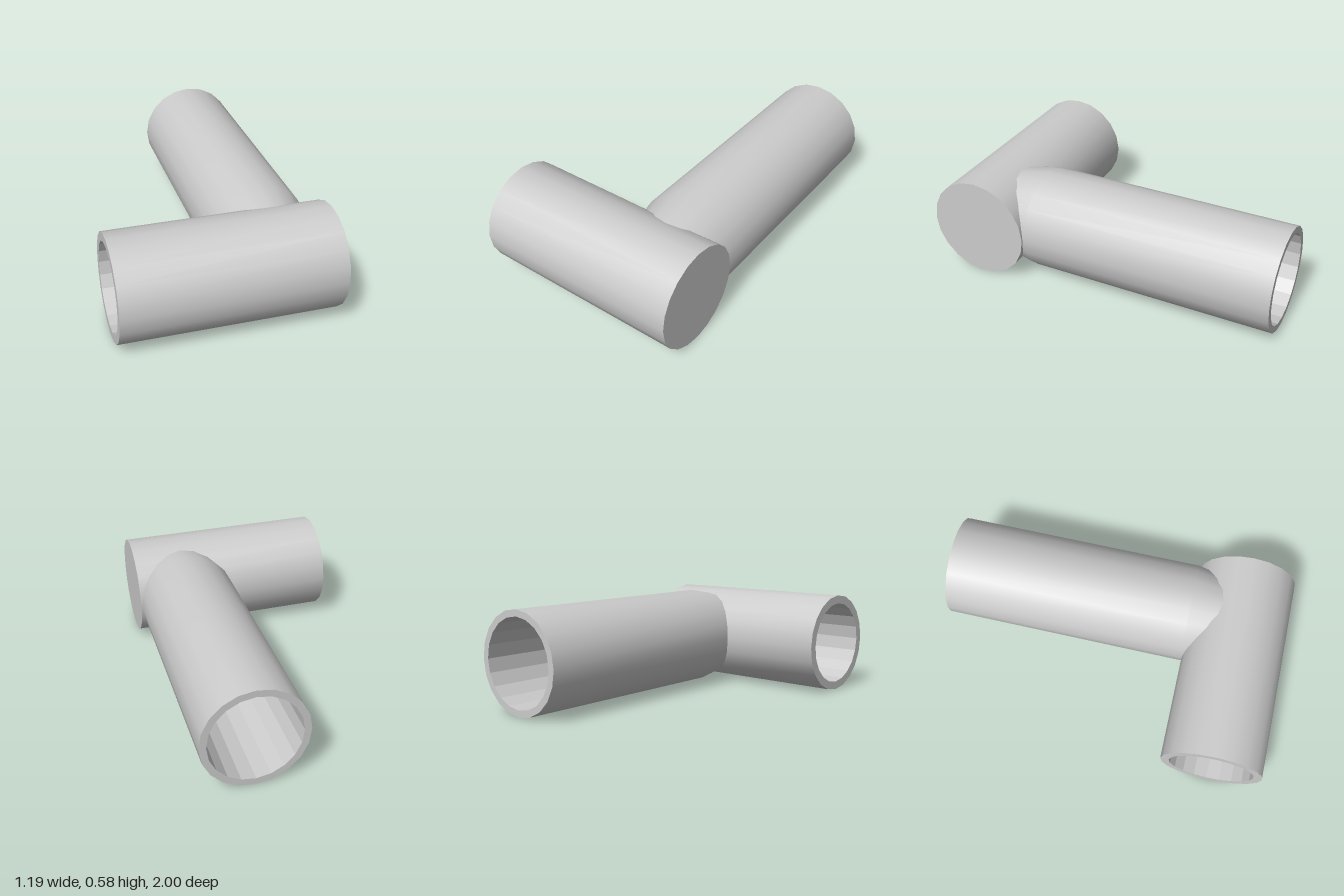
import * as THREE from 'three';
import { toCreasedNormals } from 'three/addons/utils/BufferGeometryUtils.js';

const SIDES = 20;
const RADIUS = 0.288;

// Lathe from [radius, height] pairs, smooth round the wall or faceted
function turned(name, profile, flat) {
  const points = profile.map(([r, h]) => new THREE.Vector2(r, h));
  const lathe = new THREE.LatheGeometry(points, SIDES);
  const geometry = toCreasedNormals(lathe, flat ? 0.05 : 0.4);
  const material = new THREE.MeshStandardMaterial({ color: 0xcccccc });
  const mesh = new THREE.Mesh(geometry, material);
  mesh.name = name;
  return mesh;
}

// Pipe closed at height 0 and open at its full length
function pipe(name, shell, bore) {
  const group = new THREE.Group();
  group.name = name;
  group.add(turned(name + 'Shell', shell, false));
  group.add(turned(name + 'Bore', bore, true));
  return group;
}

export function createModel() {
  const model = new THREE.Group();
  model.name = 'pipeElbow';

  // Short pipe across the front, capped at +x and open at -x
  const crossLength = 1.19;
  const crossBore = 0.24;
  const cross = pipe(
    'crossPipe',
    [[0, 0], [RADIUS, 0], [RADIUS, crossLength], [crossBore, crossLength]],
    [[crossBore, crossLength], [crossBore, 0.05], [0, 0.05]]
  );
  cross.rotation.z = Math.PI / 2;
  cross.position.set(0.595, RADIUS, 0.712);
  model.add(cross);

  // Long pipe running back, tapered where it enters the cross pipe
  const longLength = 1.712;
  const longBore = 0.25;
  const long = pipe(
    'longPipe',
    [[0, 0], [0.235, 0], [RADIUS, 0.3], [RADIUS, longLength], [longBore, longLength]],
    [[longBore, longLength], [longBore, 0.3], [0.2, 0.04], [0, 0.04]]
  );
  long.rotation.x = -Math.PI / 2;
  long.position.set(0.302, RADIUS, 0.712);
  model.add(long);

  return model;
}
